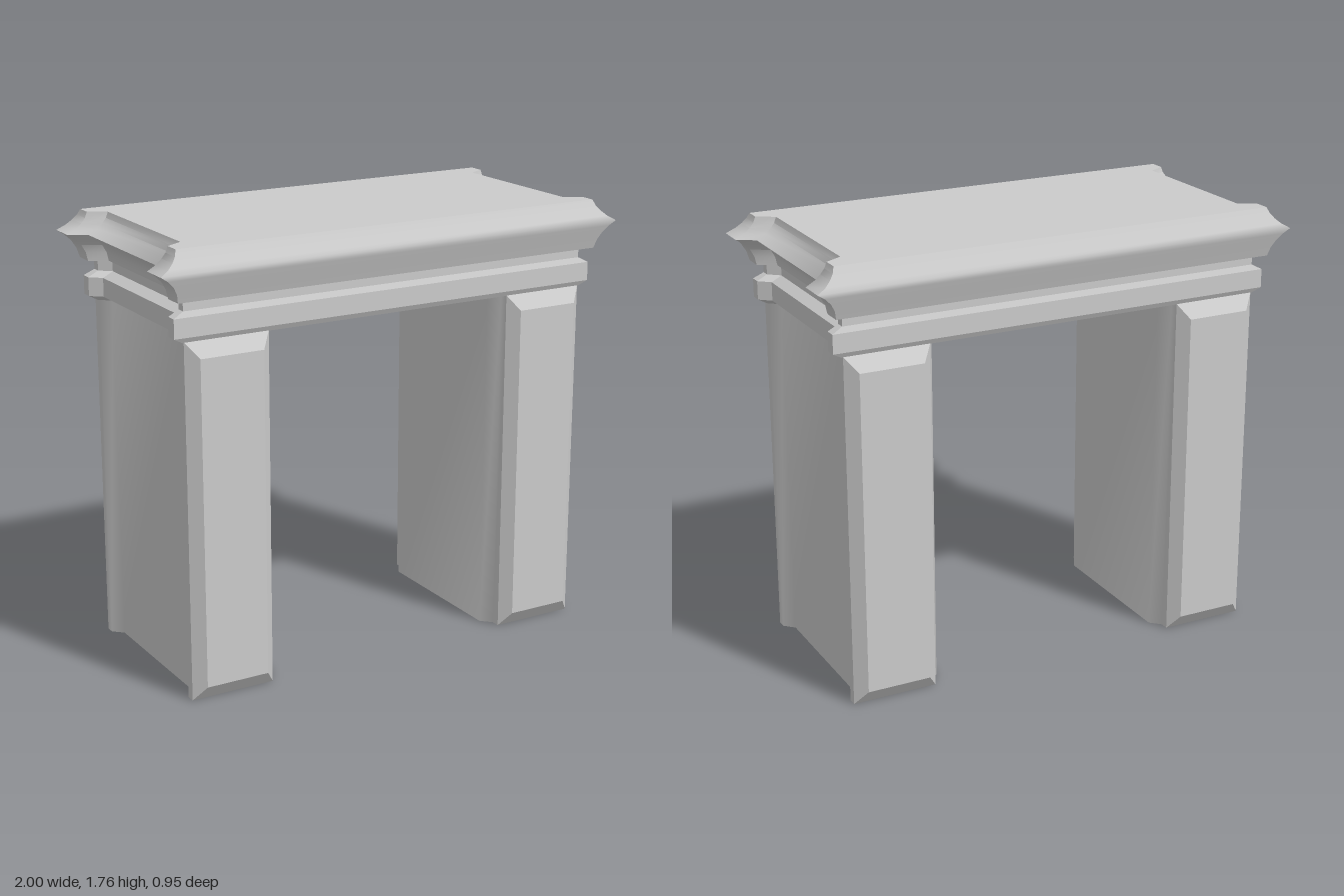
import * as THREE from 'three';
import { toCreasedNormals } from 'three/addons/utils/BufferGeometryUtils.js';

// Skin stacked outlines: each ring is { y, pts: [[x, z], ...] }, counter-clockwise from above
function loft(rings, crease) {
  const n = rings[0].pts.length;
  const pos = [], idx = [];
  rings.forEach(({ y, pts }) => pts.forEach(([x, z]) => pos.push(x, y, z)));
  for (let r = 0; r < rings.length - 1; r++) {
    for (let i = 0; i < n; i++) {
      const j = (i + 1) % n, a = r * n + i, b = r * n + j;
      idx.push(a, b, b + n, a, b + n, a + n);
    }
  }
  const cap = (pts) => THREE.ShapeUtils.triangulateShape(pts.map(([x, z]) => new THREE.Vector2(x, -z)), []);
  const top = (rings.length - 1) * n;
  cap(rings[0].pts).forEach(([a, b, c]) => idx.push(a, c, b));
  cap(rings[rings.length - 1].pts).forEach(([a, b, c]) => idx.push(top + a, top + b, top + c));
  const g = new THREE.BufferGeometry();
  g.setAttribute('position', new THREE.Float32BufferAttribute(pos, 3));
  g.setIndex(idx);
  return toCreasedNormals(g, crease);
}

// Rectangle whose two ends step inward between the corners
function notched(x, z, depth) {
  const side = [[x, z], [x, 0.36], [x - depth, 0.32], [x - depth, -0.32], [x, -0.36], [x, -z]];
  return [...side, ...side.map(([px, pz]) => [-px, -pz])];
}

const rect = (x0, x1, z0, z1) => [[x1, z1], [x1, z0], [x0, z0], [x0, z1]];

export function createModel() {
  const model = new THREE.Group();
  const material = new THREE.MeshStandardMaterial({ color: 0xcccccc });
  const add = (parent, name, geometry) => {
    const mesh = new THREE.Mesh(geometry, material);
    mesh.name = name;
    parent.add(mesh);
  };

  // Cornice: [y, half length, half depth], coved at the ends
  const cornice = [
    [1.57, 0.92, 0.44], [1.605, 0.928, 0.451], [1.635, 0.945, 0.461], [1.66, 0.97, 0.469],
    [1.68, 1.0, 0.475],
    [1.7, 0.965, 0.4625], [1.72, 0.942, 0.45], [1.74, 0.926, 0.4375], [1.763, 0.917, 0.425],
  ];
  add(model, 'cornice', loft(cornice.map(([y, x, z]) => ({ y, pts: notched(x, z, 0.07) })), 0.95));

  // Lintel: projecting band below a narrower neck
  const lintel = [
    [1.41, 0.885, 0.395], [1.43, 0.922, 0.405], [1.505, 0.922, 0.405],
    [1.527, 0.88, 0.395], [1.575, 0.88, 0.395],
  ];
  add(model, 'lintel', loft(lintel.map(([y, x, z]) => ({ y, pts: notched(x, z, 0.045) })), 0.3));

  // Legs: a slab shifted inward between its corners, with a bevelled panel on front and back
  const outer = [[0.88, 0.395], [0.88, 0.36], [0.84, 0.32], [0.84, -0.32], [0.88, -0.36], [0.88, -0.395]];
  const inner = outer.map(([x, z]) => [x - 0.347, z]).reverse();
  const slab = loft([0, 1.412].map((y) => ({ y, pts: [...outer, ...inner] })), 0.9);

  // Panel lies in the plan and is turned upright; s is the sign its height takes
  const panel = (s) => {
    const ring = (y, x0, x1, lo, hi) => ({
      y, pts: s > 0 ? rect(x0, x1, -hi, -lo) : rect(x0, x1, lo, hi),
    });
    return loft([
      ring(0.395, 0.533, 0.88, 0, 1.412),
      ring(0.437, 0.575, 0.835, 0.06, 1.353),
    ], 0.3).rotateX(s * Math.PI / 2);
  };
  const front = panel(1), back = panel(-1);

  ['leftLeg', 'rightLeg'].forEach((name, i) => {
    const leg = new THREE.Group();
    leg.name = name;
    leg.rotation.y = i * Math.PI;
    add(leg, 'legSlab', slab);
    add(leg, 'legPanel', front);
    add(leg, 'legPanel', back);
    model.add(leg);
  });

  return model;
}
